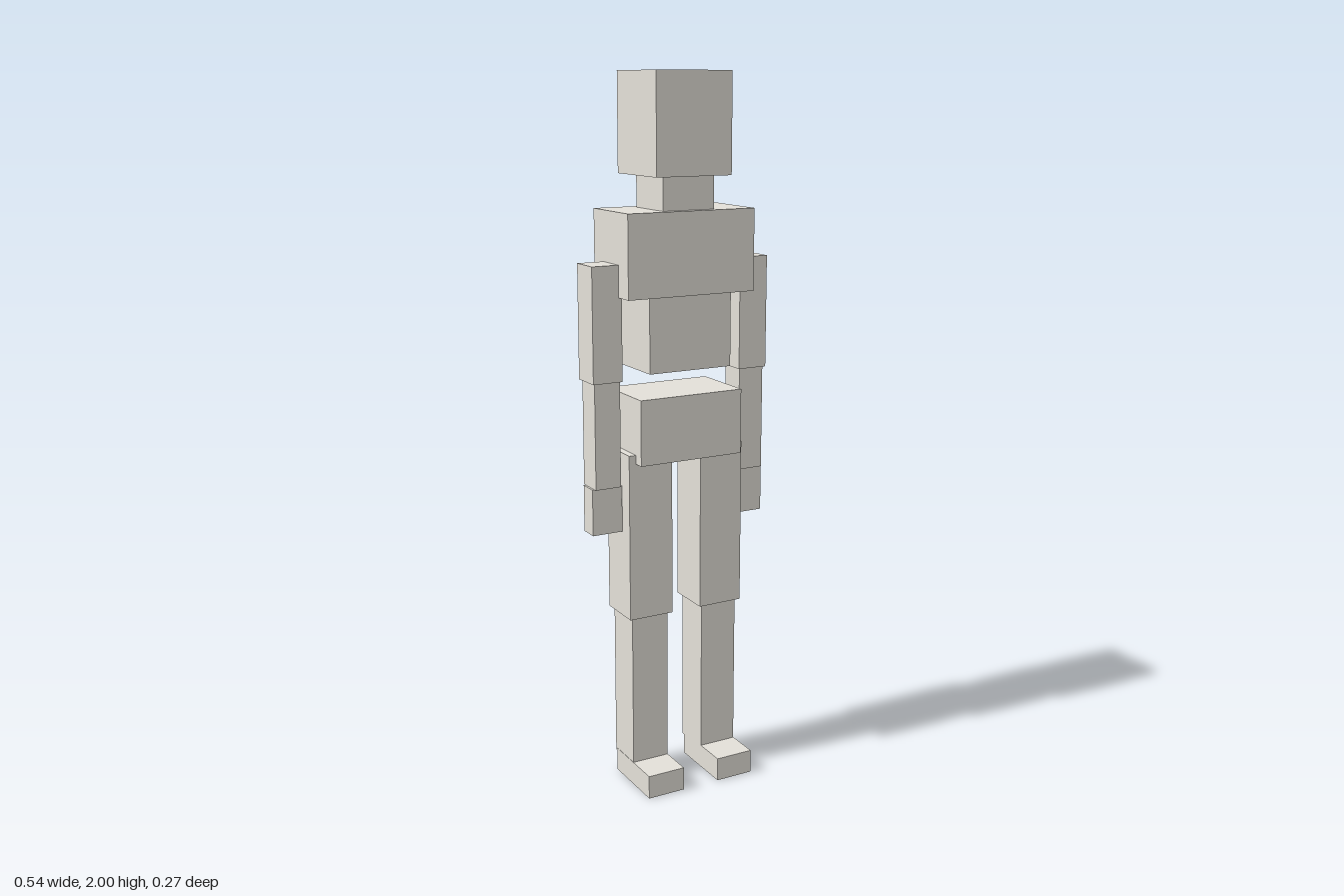
import * as THREE from 'three';

const grey = new THREE.MeshStandardMaterial({ color: 0xe3e0d8 });
grey.name = 'pale warm grey';

// Box given by its extents along each axis
function block(name, [x0, x1], [y0, y1], [z0, z1]) {
  const mesh = new THREE.Mesh(new THREE.BoxGeometry(x1 - x0, y1 - y0, z1 - z0), grey);
  mesh.position.set((x0 + x1) / 2, (y0 + y1) / 2, (z0 + z1) / 2);
  mesh.name = name;
  return mesh;
}

export function createModel() {
  const model = new THREE.Group();
  model.name = 'blockFigure';

  // Central column: name, half width, y range, z range
  const core = [
    ['head', 0.113, [1.73, 2], [-0.135, 0.089]],
    ['neck', 0.077, [1.64, 1.73], [-0.096, 0.058]],
    ['chest', 0.192, [1.415, 1.64], [-0.125, 0.079]],
    ['abdomen', 0.125, [1.21, 1.415], [-0.114, 0.07]],
    ['pelvis', 0.157, [0.96, 1.143], [-0.124, 0.078]],
  ];
  for (const [name, w, y, z] of core) model.add(block(name, [-w, w], y, z));

  // Limbs, mirrored: name, x range on the left side, y range, z range
  const limbs = [
    ['UpperArm', [0.183, 0.27], [1.187, 1.502], [-0.068, 0.022]],
    ['Forearm', [0.188, 0.264], [0.892, 1.187], [-0.06, 0.016]],
    ['Hand', [0.18, 0.27], [0.76, 0.892], [-0.05, 0.006]],
    ['Thigh', [0.045, 0.178], [0.51, 0.985], [-0.087, 0.047]],
    ['Shin', [0.056, 0.167], [0.06, 0.51], [-0.076, 0.037]],
    ['Foot', [0.056, 0.168], [0, 0.068], [-0.066, 0.135]],
  ];
  for (const [name, [a, b], y, z] of limbs) {
    model.add(block('left' + name, [a, b], y, z));
    model.add(block('right' + name, [-b, -a], y, z));
  }
  return model;
}
